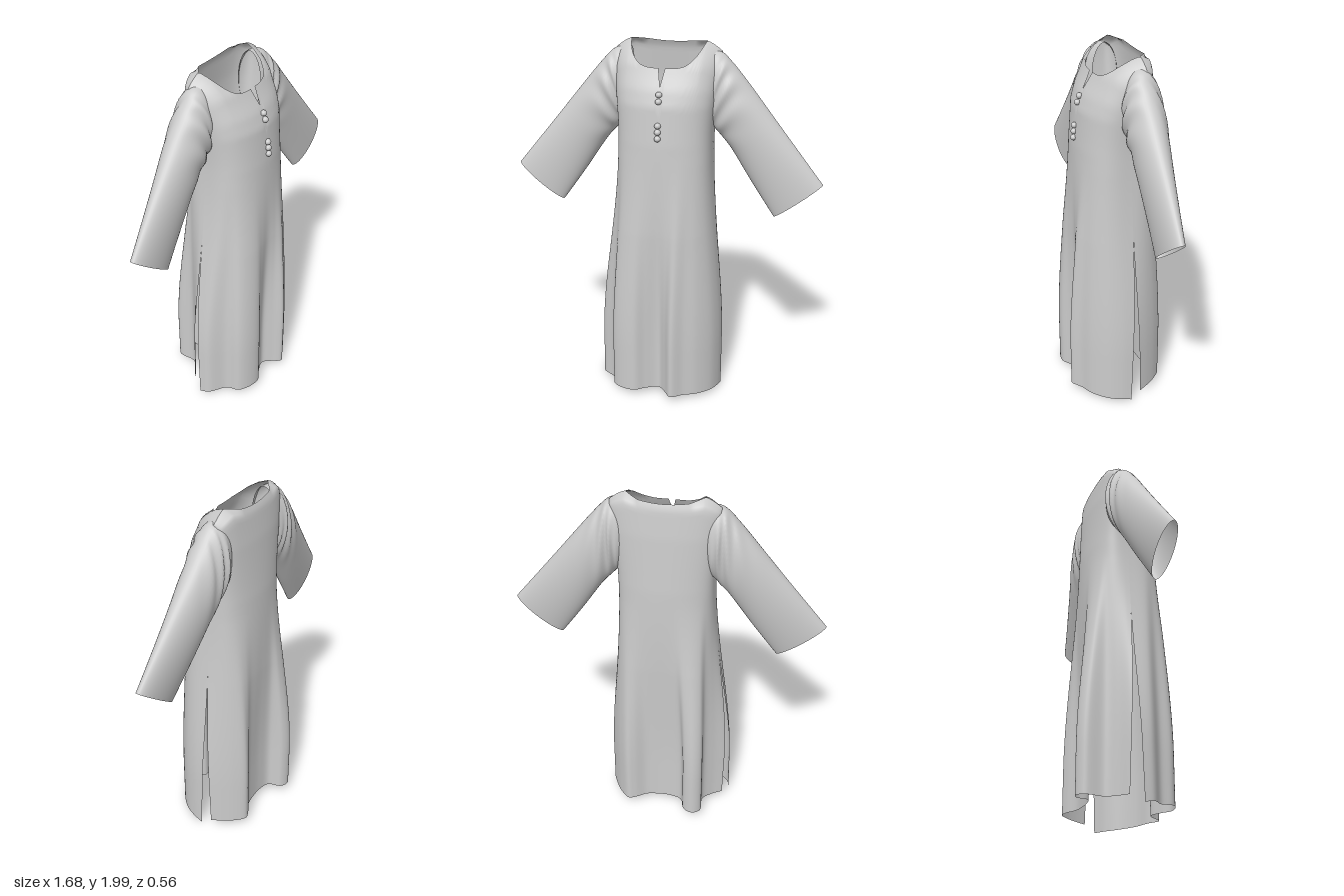
import * as THREE from 'three';
import { mergeVertices } from 'three/addons/utils/BufferGeometryUtils.js';

const cloth = new THREE.MeshStandardMaterial({ color: 0xcccccc, side: THREE.DoubleSide });
const { lerp, clamp, smoothstep } = THREE.MathUtils;

// Piecewise-linear lookup in a list of [key, value] pairs
function lookup(table, k) {
  if (k <= table[0][0]) return table[0][1];
  for (let i = 1; i < table.length; i++) {
    const [a, va] = table[i - 1], [b, vb] = table[i];
    if (k <= b) return lerp(va, vb, (k - a) / (b - a));
  }
  return table[table.length - 1][1];
}

// Surface over a grid of u, v in 0..1; the normal points along du x dv
function surface(name, nu, nv, point, flip) {
  const pos = [], index = [];
  for (let j = 0; j <= nv; j++)
    for (let i = 0; i <= nu; i++) pos.push(...point(i / nu, j / nv));
  for (let j = 0; j < nv; j++)
    for (let i = 0; i < nu; i++) {
      const a = j * (nu + 1) + i, b = a + 1, c = a + nu + 1, d = c + 1;
      if (flip) index.push(a, d, b, a, c, d);
      else index.push(a, b, d, a, d, c);
    }
  let g = new THREE.BufferGeometry();
  g.setAttribute('position', new THREE.Float32BufferAttribute(pos, 3));
  g.setIndex(index);
  g = mergeVertices(g, 1e-5);
  g.computeVertexNormals();
  const mesh = new THREE.Mesh(g, cloth);
  mesh.name = name;
  return mesh;
}

// Pleated hem outlines (x, z), from the right side seam to the left
const hemCurve = (pts) => new THREE.CatmullRomCurve3(pts.map(([x, z]) => new THREE.Vector3(x, 0, z)));
const frontHem = hemCurve([
  [-0.375, 0.005], [-0.36, 0.06], [-0.28, 0.13], [-0.26, 0.2], [-0.2, 0.24], [-0.13, 0.25], [-0.07, 0.215],
  [0, 0.19], [0.04, 0.225], [0.085, 0.275], [0.15, 0.235], [0.22, 0.2], [0.29, 0.13], [0.32, 0.06], [0.33, 0]]);
const backHem = hemCurve([
  [-0.34, -0.06], [-0.28, -0.1], [-0.235, -0.15], [-0.235, -0.25], [-0.19, -0.28], [-0.14, -0.26], [-0.11, -0.19],
  [-0.04, -0.17], [0.04, -0.17], [0.1, -0.18], [0.16, -0.215], [0.2, -0.225], [0.25, -0.18], [0.29, -0.12], [0.32, -0.06]]);

// Depth of the centre front, centre back and side seam by height
const frontDepth = [[1, 0.22], [1.5, 0.2], [1.7, 0.182], [1.78, 0.155], [1.85, 0.115], [1.9, 0.09],
  [1.95, 0.035], [1.985, -0.03], [2, -0.08]];
const backDepth = [[1, -0.21], [1.5, -0.195], [1.8, -0.175], [1.95, -0.157], [1.985, -0.14], [2, -0.08]];
const seamDepth = [[1.4, -0.02], [2, -0.08]];

// One body panel: u runs from right to left, v from hem to neckline
function panel(front) {
  const hem = front ? frontHem : backHem;
  const other = front ? backHem : frontHem;
  const depth = front ? frontDepth : backDepth;
  return (u, v) => {
    const s = 2 * u - 1, a = Math.abs(s);
    const X = Math.sin(s * Math.PI / 2);
    const Z = Math.pow(Math.max(0, Math.cos(s * Math.PI / 2)), 0.6);
    const xTop = Math.abs(X) * 0.28;
    const drop = 0.05 * Math.pow(clamp((xTop - 0.19) / 0.09, 0, 1), 1.5);
    // Neckline with a keyhole slit in front, shoulder line beyond it
    let top = 2 - drop;
    if (xTop < 0.2) {
      const n = xTop / 0.2;
      const neck = front
        ? 1.885 + 0.115 * n ** 4 - Math.max(0, 0.085 * (1 - xTop / 0.0175))
        : 1.975 + 0.025 * n * n;
      top = Math.min(top, neck);
    }
    const bottom = front ? 0.04 - 0.035 * a ** 3 : 0.045 + 0.02 * (1 - a);
    const y = lerp(bottom, top, v);
    const yq = y + drop * smoothstep(y, 1.5, 1.95);
    const seam = lookup(seamDepth, yq);
    const x0 = X * lerp(0.25, 0.28, smoothstep(y, 1.5, 1.95));
    const z0 = seam + (lookup(depth, yq) - seam) * Z;
    // Flare into the pleats; the side seams stay closed above the slits
    const w = 1 - smoothstep(y, 0.3, 1.5);
    const h = hem.getPoint(u);
    const closed = (1 - clamp((1.05 - y) / 1.05, 0, 1)) * a ** 6;
    const end = s < 0 ? 0 : 1;
    const shift = other.getPoint(end).sub(hem.getPoint(end)).multiplyScalar(closed / 2);
    return [lerp(x0, h.x + shift.x, w), y, lerp(z0, h.z + shift.z, w)];
  };
}

// Sleeve sections: top x, top y, bottom x, bottom y, centre z, half depth
const sleeveSections = [
  [0.2, 1.96, 0.2, 1.63, -0.06, 0.07],
  [0.28, 1.947, 0.23, 1.58, -0.06, 0.098],
  [0.335, 1.9, 0.27, 1.53, -0.055, 0.1],
  [0.43, 1.79, 0.34, 1.45, -0.052, 0.095],
  [0.62, 1.555, 0.46, 1.27, -0.035, 0.072],
  [0.84, 1.285, 0.59, 1.085, -0.013, 0.047]];

function sleeve(side) {
  const n = sleeveSections.length - 1;
  const track = (k) => new THREE.SplineCurve(
    sleeveSections.map((r) => new THREE.Vector2(r[k], r[k + 1])));
  const topEdge = track(0), bottomEdge = track(2), girth = track(4);
  return (u, v) => {
    const ang = u * Math.PI * 2, c = Math.cos(ang), d = Math.sin(ang);
    const t = topEdge.getPoint(v), b = bottomEdge.getPoint(v), g = girth.getPoint(v);
    // Gathered creases near the armpit
    const crease = 0.009 * Math.sin(ang * 5 + v * 34) * smoothstep(v * n, 0.5, 1.5) * (1 - smoothstep(v * n, 2, 3.7));
    const x = (t.x + b.x) / 2 + (t.x - b.x) / 2 * c;
    const y = (t.y + b.y) / 2 + (t.y - b.y) / 2 * c;
    return [side * x, y, g.x + (g.y + crease) * d];
  };
}

export function createModel() {
  const model = new THREE.Group();
  model.name = 'tunic';
  model.add(surface('frontPanel', 100, 90, panel(true), false));
  model.add(surface('backPanel', 100, 90, panel(false), true));
  model.add(surface('leftSleeve', 48, 50, sleeve(1), false));
  model.add(surface('rightSleeve', 48, 50, sleeve(-1), true));

  // Buttons down the centre front
  const buttonGeometry = new THREE.SphereGeometry(0.017, 20, 14);
  for (const y of [1.765, 1.732, 1.61, 1.577, 1.543]) {
    const button = new THREE.Mesh(buttonGeometry, cloth);
    button.name = 'button';
    button.position.set(0, y, lookup(frontDepth, y) + 0.004);
    button.scale.y = 0.92;
    model.add(button);
  }
  return model;
}
